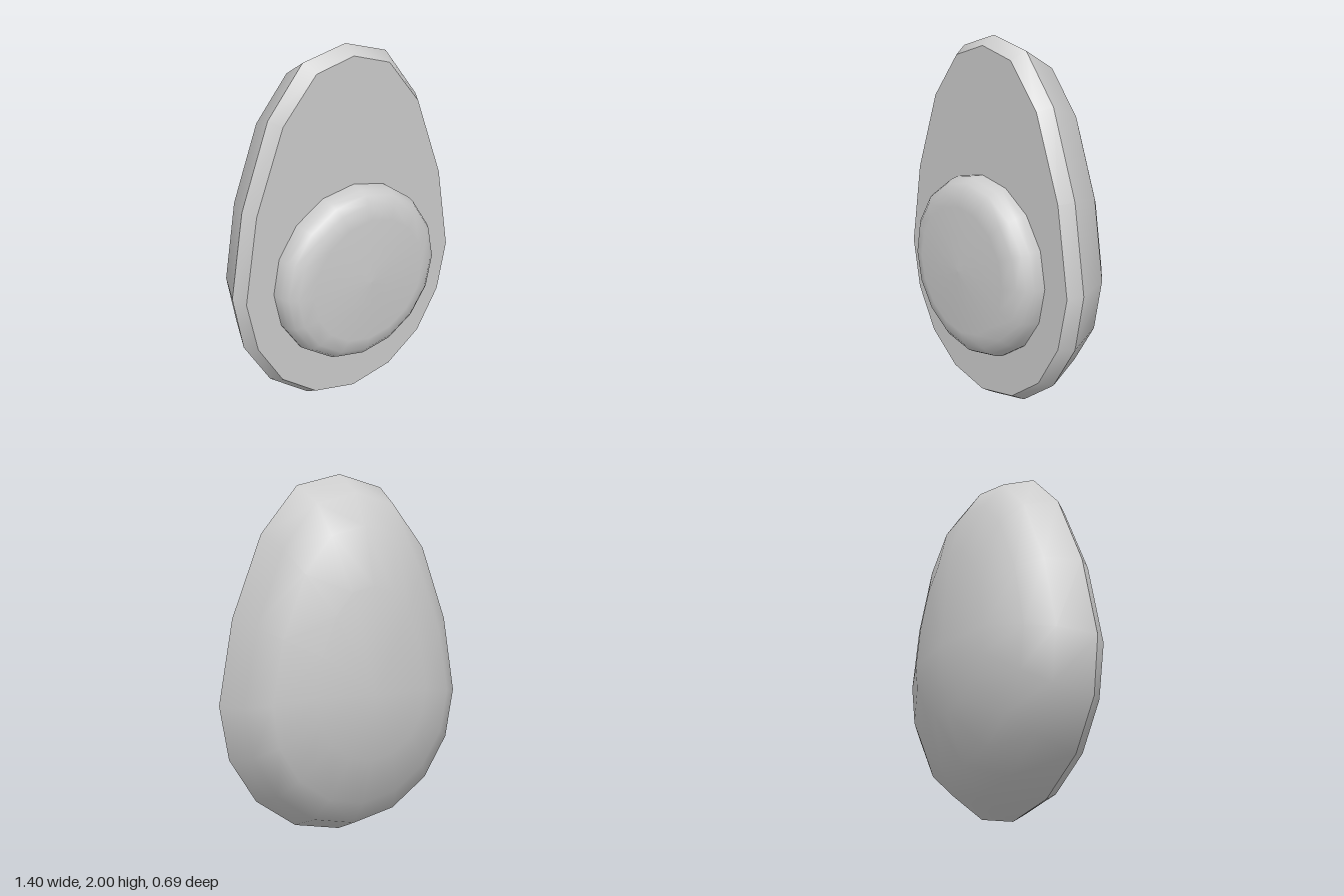
import * as THREE from 'three';
import { mergeVertices } from 'three/addons/utils/BufferGeometryUtils.js';

// Right half of an outline, top to bottom, mirrored into a closed 16-point ring
const closeRing = half => [...half, ...half.slice(1, -1).reverse().map(([x, y]) => [-x, y])];

// The cut is tilted slightly: the top leans back
const place = (ring, z) => ring.map(([x, y]) => [x, y, z + 0.01 * (1 - y)]);
const shrink = (ring, s, offset) => ring.map(([x, y]) => [x * s, y * s + offset]);

// Smooth skin through successive rings
function loft(rings) {
  const n = rings[0].length, index = [];
  for (let r = 0; r < rings.length - 1; r++) {
    for (let i = 0; i < n; i++) {
      const j = (i + 1) % n, a = r * n, b = a + n;
      index.push(a + i, a + j, b + i, a + j, b + j, b + i);
    }
  }
  const raw = new THREE.BufferGeometry();
  raw.setAttribute('position', new THREE.Float32BufferAttribute(rings.flat(2), 3));
  raw.setIndex(index);
  const geometry = mergeVertices(raw);
  geometry.computeVertexNormals();
  return geometry;
}

export function createModel() {
  const model = new THREE.Group();
  model.name = 'halvedFruit';
  const material = new THREE.MeshStandardMaterial({ color: 0xcccccc });
  const add = (name, geometry) => {
    const mesh = new THREE.Mesh(geometry, material);
    mesh.name = name;
    model.add(mesh);
    return mesh;
  };

  const outer = closeRing([[0, 2], [0.25, 1.935], [0.455, 1.68], [0.62, 1.24], [0.7, 0.78],
    [0.65, 0.48], [0.5, 0.23], [0.27, 0.06], [0, 0]]);
  const inner = closeRing([[0, 1.95], [0.22, 1.89], [0.415, 1.66], [0.58, 1.23], [0.66, 0.77],
    [0.605, 0.49], [0.465, 0.255], [0.255, 0.1], [0, 0.045]]);
  const edge = place(outer, 0.1), front = place(inner, 0.175);

  // Flat cut face
  add('cutFace', loft([place(shrink(inner, 0, 0.78), 0.175), front]));

  // Bevelled rim between the cut face and the skin
  add('rim', loft([front, edge]));

  // Rounded back, closing at a point
  add('skin', loft([
    edge,
    place(shrink(outer, 0.9, 0.095), -0.1),
    place(shrink(outer, 0.74, 0.24), -0.21),
    place(shrink(outer, 0.46, 0.5), -0.308),
    place(shrink(outer, 0, 0.86), -0.35),
  ]));

  // Round stone standing out of the cut face
  const profile = [[0.5, 0.15], [0.5, 0.2], [0.49, 0.24], [0.47, 0.277], [0.43, 0.308], [0.35, 0.333], [0, 0.345]]
    .map(([r, h]) => new THREE.Vector2(r, h));
  const stone = add('stone', new THREE.LatheGeometry(profile, 16).rotateX(Math.PI / 2));
  stone.position.y = 0.78;

  return model;
}
